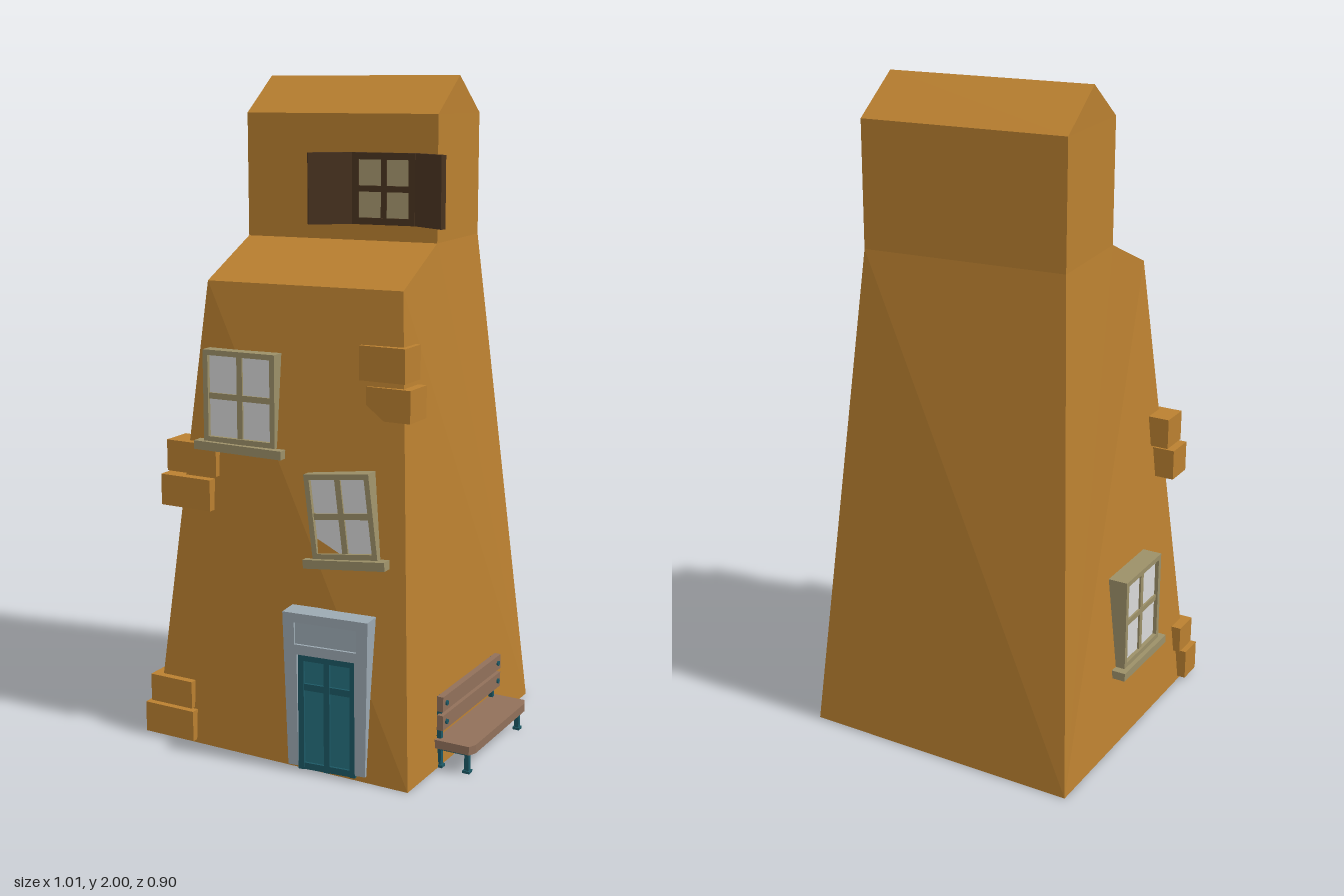
import * as THREE from 'three';

const material = (name, color) => Object.assign(new THREE.MeshStandardMaterial({ color }), { name });

export function createModel() {
  const plaster = material('ochre plaster', 0xba8030);
  const beige = material('beige frame', 0x9c9068);
  const glass = material('pale glass', 0xd8d8d8);
  const darkWood = material('dark wood', 0x4a3420);
  const litGlass = material('warm glass', 0xa89870);
  const stone = material('blue grey stone', 0x9ca9b2);
  const teal = material('teal paint', 0x246f7c);
  const tealDark = material('dark teal paint', 0x1c5864);
  const benchWood = material('bench wood', 0x91705a);

  const model = new THREE.Group();
  model.name = 'crookedHouse';

  const group = (name, x, y, z, ry = 0, rz = 0) => {
    const g = new THREE.Group();
    g.name = name;
    g.position.set(x, y, z);
    g.rotation.set(0, ry, rz);
    model.add(g);
    return g;
  };
  const add = (parent, name, geometry, mat) => {
    const mesh = new THREE.Mesh(geometry, mat);
    mesh.name = name;
    parent.add(mesh);
    return mesh;
  };
  // Box given by its limits on each axis
  const box = (parent, name, mat, [x0, x1], [y0, y1], [z0, z1]) => {
    const mesh = add(parent, name, new THREE.BoxGeometry(x1 - x0, y1 - y0, z1 - z0), mat);
    mesh.position.set((x0 + x1) / 2, (y0 + y1) / 2, (z0 + z1) / 2);
    return mesh;
  };

  // House body: two side profiles (base back, up over the roof, base front) joined across
  const right = [[-0.485, 0, -0.45], [-0.385, 1.52, -0.3], [-0.385, 1.89, -0.3], [-0.37, 2, -0.125],
    [-0.352, 1.89, 0.045], [-0.352, 1.52, 0.045], [-0.33, 1.41, 0.305], [-0.485, 0, 0.403]];
  const left = [[0.39, 0, -0.45], [0.235, 1.52, -0.35], [0.235, 1.89, -0.35], [0.25, 2, -0.178],
    [0.265, 1.89, -0.005], [0.265, 1.52, -0.005], [0.288, 1.41, 0.252], [0.39, 0, 0.405]];
  const points = [];
  right.forEach((p, i) => {
    const j = (i + 1) % right.length;
    points.push(p, right[j], left[j], p, left[j], left[i]);
  });
  for (const [a, b, c] of [[0, 7, 6], [0, 6, 5], [0, 5, 1], [1, 5, 4], [1, 4, 2], [2, 4, 3]]) {
    points.push(right[a], right[b], right[c], left[a], left[c], left[b]);
  }
  const body = new THREE.BufferGeometry();
  body.setAttribute('position', new THREE.Float32BufferAttribute(points.flat(), 3));
  body.computeVertexNormals();
  add(model, 'houseBody', body, plaster);

  // Corner stones in pairs
  const stones = [
    [[-0.51, -0.335], [0.01, 0.105], [0.34, 0.422]],
    [[-0.495, -0.345], [0.11, 0.195], [0.322, 0.412]],
    [[-0.465, -0.29], [0.73, 0.825], [0.28, 0.375]],
    [[-0.45, -0.275], [0.835, 0.93], [0.265, 0.362]],
    [[0.17, 0.315], [1.155, 1.255], [0.195, 0.292]],
    [[0.195, 0.335], [1.045, 1.14], [0.195, 0.297]],
  ];
  stones.forEach((s) => box(model, 'cornerStone', plaster, ...s));

  // Rectangular window: surround, cross bars, panes and an optional sill
  const addWindow = (g, w, h, bar, depth, frameMat, paneMat, sill) => {
    const x = w / 2, y = h / 2, z = [-0.04, depth], zBar = [-0.04, depth * 0.8];
    for (const s of [-1, 1]) {
      const sx = s * (x - bar / 2), sy = s * (y - bar / 2);
      box(g, 'windowSide', frameMat, [sx - bar / 2, sx + bar / 2], [-y, y], z);
      box(g, 'windowRail', frameMat, [-x + bar, x - bar], [sy - bar / 2, sy + bar / 2], z);
    }
    box(g, 'uprightBar', frameMat, [-0.009, 0.009], [-y + bar, y - bar], zBar);
    box(g, 'crossBar', frameMat, [-x + bar, x - bar], [-0.009, 0.009], zBar);
    const paneZ = depth * 0.6;
    box(g, 'panes', paneMat, [-x + bar, x - bar], [-y + bar, y - bar], [paneZ - 0.008, paneZ]);
    if (sill) {
      box(g, 'sill', frameMat, [-x - 0.027, x + 0.027], [-y - 0.026, -y], [-0.04, depth + 0.014])
        .rotation.z = -0.015;
    }
  };
  addWindow(group('frontUpperWindow', -0.198, 1.077, 0.325, 0.04), 0.24, 0.275, 0.016, 0.03, beige, glass, true);
  addWindow(group('frontLowerWindow', 0.146, 0.768, 0.333, 0.03, 0.12), 0.21, 0.25, 0.016, 0.03, beige, glass, true);
  addWindow(group('sideWindow', -0.458, 0.385, 0.043, -Math.PI / 2), 0.24, 0.29, 0.016, 0.03, beige, glass, true);

  // Attic window with open shutters
  const attic = group('atticWindow', 0.1, 1.673, 0.0085, 0.081);
  addWindow(attic, 0.2, 0.21, 0.02, 0.014, darkWood, litGlass, false);
  const shutters = [[0, 0.02, -0.105, 0.107], [0.2, 0.004, 0.32, 0.07]];
  for (const [x0, z0, x1, z1] of shutters) {
    const shutter = add(model, 'shutter',
      new THREE.BoxGeometry(Math.hypot(x1 - x0, z1 - z0), 0.21, 0.016), darkWood);
    shutter.position.set((x0 + x1) / 2, 1.673, (z0 + z1) / 2);
    shutter.rotation.y = -Math.atan2(z1 - z0, x1 - x0);
  }

  // Door surround: widens and leans forward towards the top
  const door = group('frontDoor', 0.133, 0, 0.405, 0.1);
  const outline = new THREE.Shape([[-0.122, 0.02], [-0.09, 0.02], [-0.09, 0.365], [0.09, 0.365], [0.09, 0.02],
    [0.122, 0.02], [0.133, 0.49], [-0.133, 0.49]].map(([x, y]) => new THREE.Vector2(x, y)));
  const panelHole = new THREE.Path([[-0.097, 0.395], [-0.097, 0.462], [0.097, 0.462], [0.097, 0.395]]
    .map(([x, y]) => new THREE.Vector2(x, y)));
  outline.holes.push(panelHole);
  const surround = new THREE.ExtrudeGeometry(outline, { depth: 0.07, bevelEnabled: false });
  const pos = surround.attributes.position;
  for (let i = 0; i < pos.count; i++) pos.setZ(i, pos.getZ(i) - 0.05 + 0.02 * pos.getY(i));
  surround.computeVertexNormals();
  add(door, 'doorSurround', surround, stone);
  box(door, 'lintelPanel', stone, [-0.1, 0.1], [0.39, 0.468], [-0.04, 0.02]);

  // Door leaf with raised rails around four sunken panels
  box(door, 'doorLeaf', teal, [-0.09, 0.09], [0.01, 0.365], [-0.04, 0.01]);
  for (const x of [-0.081, 0, 0.081]) {
    box(door, 'doorStile', tealDark, [x - 0.009, x + 0.009], [0.01, 0.365], [0, 0.018]);
  }
  for (const y of [0.021, 0.265, 0.354]) {
    box(door, 'doorRail', tealDark, [-0.09, 0.09], [y - 0.01, y + 0.01], [0, 0.017]);
  }

  // Bench against the side wall: seat with clipped outer corners
  const bench = group('bench', 0, 0, 0.015);
  const seatShape = new THREE.Shape([[0.382, -0.205], [0.494, -0.205], [0.505, -0.18], [0.505, 0.18],
    [0.494, 0.205], [0.382, 0.205]].map(([x, z]) => new THREE.Vector2(x, z)));
  const seat = add(bench, 'benchSeat',
    new THREE.ExtrudeGeometry(seatShape, { depth: 0.026, bevelEnabled: false }), benchWood);
  seat.rotation.x = Math.PI / 2;
  seat.position.y = 0.09;
  for (const y of [0.145, 0.203]) {
    box(bench, 'backSlat', benchWood, [0.39, 0.41], [y - 0.023, y + 0.023], [-0.205, 0.205]);
  }
  for (const z of [-0.183, 0.183]) {
    box(bench, 'backPost', tealDark, [0.383, 0.397], [0, 0.22], [z - 0.007, z + 0.007]);
    box(bench, 'frontLeg', tealDark, [0.473, 0.487], [0, 0.066], [z - 0.007, z + 0.007]);
    box(bench, 'seatRail', tealDark, [0.39, 0.487], [0.054, 0.064], [z - 0.006, z + 0.006]);
    for (const x of [0.392, 0.48]) {
      box(bench, 'foot', tealDark, [x - 0.011, x + 0.011], [0, 0.008], [z - 0.011, z + 0.011]);
    }
    for (const y of [0.145, 0.203]) {
      const bolt = add(bench, 'bolt', new THREE.CylinderGeometry(0.008, 0.008, 0.006, 8), tealDark);
      bolt.rotation.z = -Math.PI / 2;
      bolt.position.set(0.412, y, z);
    }
  }
  return model;
}
